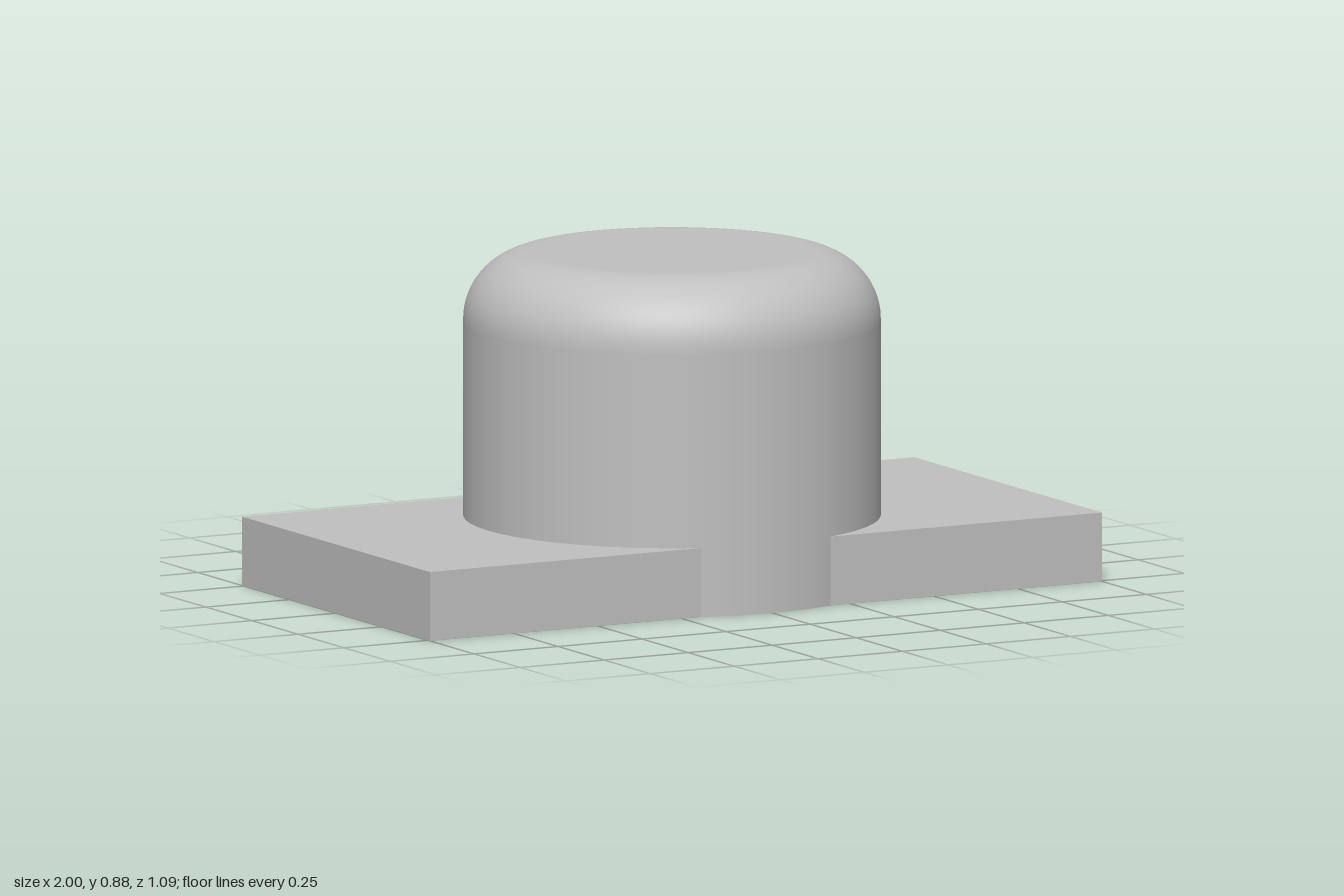
import * as THREE from 'three';

export function createModel() {
  const model = new THREE.Group();
  const grey = new THREE.MeshStandardMaterial({ color: 0xc0c0c0 });
  grey.name = 'light grey';

  const add = (name, geometry, y) => {
    const mesh = new THREE.Mesh(geometry, grey);
    mesh.name = name;
    mesh.position.y = y;
    model.add(mesh);
    return mesh;
  };

  // Flat mounting plate
  const plateHeight = 0.182;
  add('basePlate', new THREE.BoxGeometry(2, plateHeight, 1.02), plateHeight / 2);

  // Round body with a filleted top rim, reaching down through the plate
  const radius = 0.545, height = 0.88, fillet = 0.18, steps = 16;
  const profile = [new THREE.Vector2(radius, 0), new THREE.Vector2(radius, height - fillet - 0.005)];
  for (let i = 0; i <= steps; i++) {
    const a = (i / steps) * Math.PI / 2;
    profile.push(new THREE.Vector2(
      radius - fillet + fillet * Math.cos(a),
      height - fillet + fillet * Math.sin(a)
    ));
  }
  profile.push(new THREE.Vector2(radius - fillet - 0.005, height), new THREE.Vector2(0, height));
  add('roundBody', new THREE.LatheGeometry(profile, 96), 0);

  // Underside of the round body
  add('bodyUnderside', new THREE.CircleGeometry(radius, 96), 0).rotation.x = Math.PI / 2;

  return model;
}
